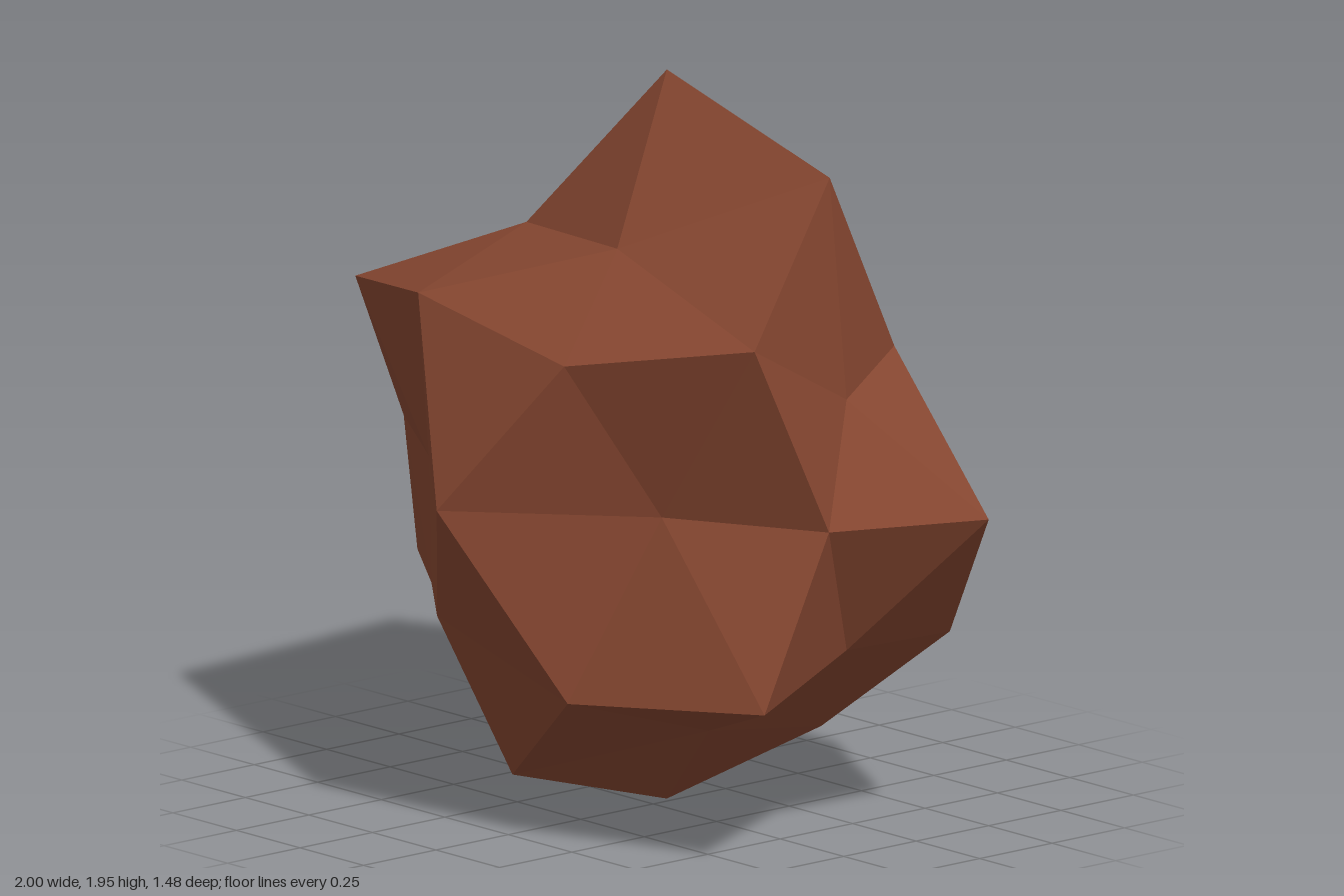
import * as THREE from 'three';

// Faceted boulder: a subdivided icosahedron with its poles on y, each corner
// pushed in or out along its own direction, then stretched.
const CENTRE = new THREE.Vector3(-0.02, 0.9, -0.065);
const STRETCH = new THREE.Vector3(1.18, 1, 0.787);

// One ring of corners: unit height, first angle (degrees from +z towards +x), radii
function ring(height, start, radii) {
  const flat = Math.sqrt(1 - height * height);
  const points = radii.map((r, i) => {
    const a = THREE.MathUtils.degToRad(start + (i * 360) / radii.length);
    return new THREE.Vector3(flat * Math.sin(a), height, flat * Math.cos(a))
      .multiplyScalar(r).multiply(STRETCH).add(CENTRE);
  });
  return (i) => points[(i + points.length) % points.length];
}

function boulderGeometry() {
  const top = ring(1, 0, [1.05])(0);
  const U = ring(0.851, 18, [0.76, 1.034, 0.65, 0.705, 0.71]);
  const B = ring(0.526, 54, [0.95, 0.71, 0.965, 0.81, 0.945]);
  const A = ring(0.447, 18, [0.925, 0.67, 0.63, 0.985, 0.925]);
  const E = ring(0, 0, [1.01, 0.633, 0.755, 0.905, 0.8, 0.705, 0.9, 0.795, 0.74, 0.66]);
  const C = ring(-0.447, 54, [1.005, 0.84, 1.02, 0.93, 0.83]);
  const D = ring(-0.526, 18, [0.94, 0.705, 0.895, 0.93, 0.735]);
  const L = ring(-0.851, 54, [0.73, 0.78, 0.67, 0.81, 0.95]);
  const bottom = ring(-1, 0, [0.9])(0);

  const corners = [];
  for (let k = 0; k < 5; k++) {
    const e = 2 * k;
    corners.push(
      // crown
      U(k), U(k + 1), top,
      A(k), B(k), U(k),
      U(k), B(k), U(k + 1),
      B(k), A(k + 1), U(k + 1),
      // belt, pointing down
      A(k), E(e + 1), B(k),
      B(k), E(e + 1), E(e + 2),
      B(k), E(e + 2), A(k + 1),
      E(e + 1), C(k), E(e + 2),
      // belt, pointing up
      A(k), E(e), E(e + 1),
      E(e), D(k), E(e + 1),
      E(e), C(k - 1), D(k),
      E(e + 1), D(k), C(k),
      // underside
      C(k - 1), L(k - 1), D(k),
      D(k), L(k - 1), L(k),
      D(k), L(k), C(k),
      L(k - 1), bottom, L(k),
    );
  }
  const geometry = new THREE.BufferGeometry().setFromPoints(corners);
  geometry.computeVertexNormals();
  return geometry;
}

export function createModel() {
  const group = new THREE.Group();
  group.name = 'rock';
  const brown = new THREE.MeshStandardMaterial({ color: 0x854630, flatShading: true });
  brown.name = 'reddish brown';
  const boulder = new THREE.Mesh(boulderGeometry(), brown);
  boulder.name = 'boulder';
  group.add(boulder);
  return group;
}
